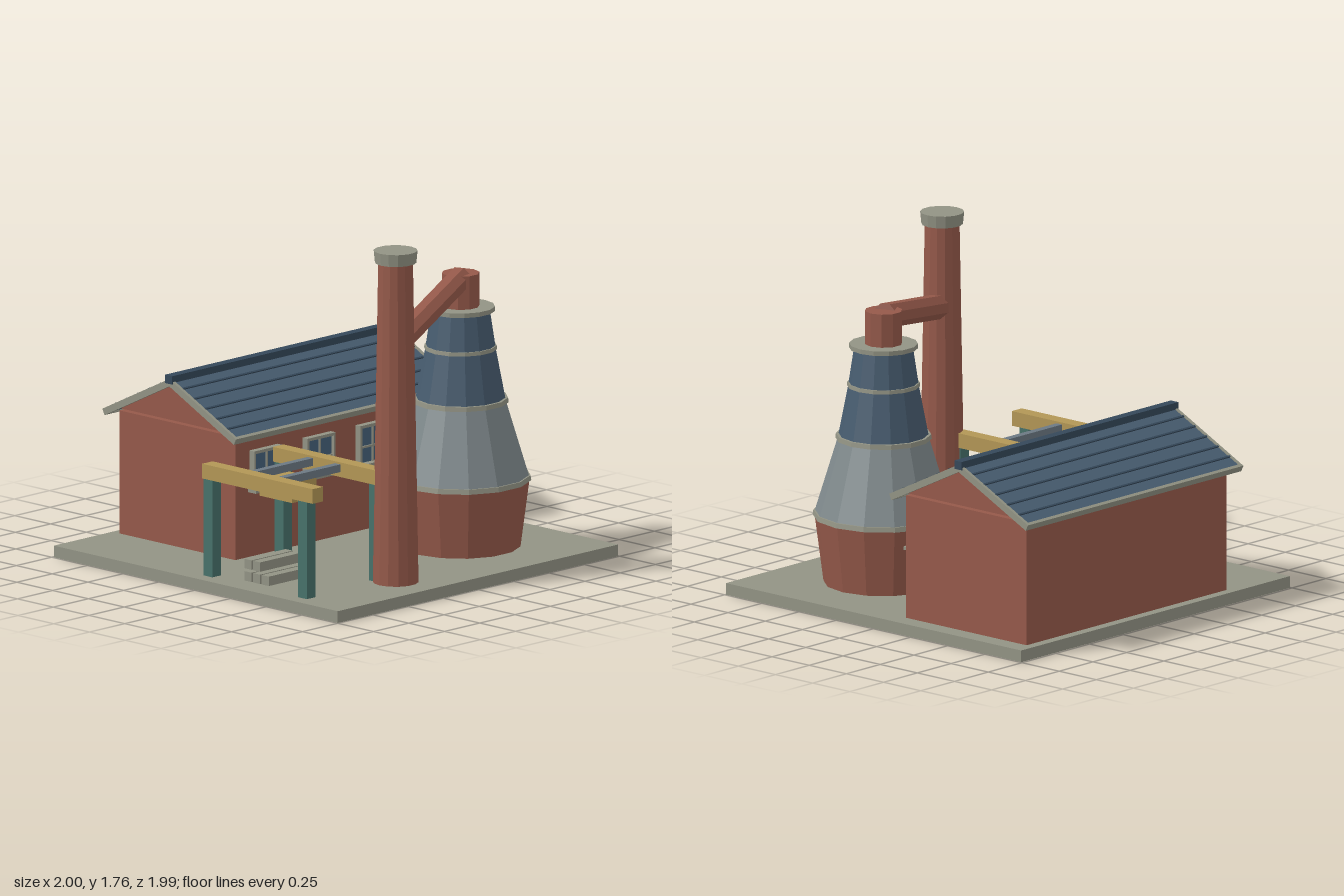
import * as THREE from 'three';

const mat = (name, color) => {
  const m = new THREE.MeshStandardMaterial({ color });
  m.name = name;
  return m;
};

export function createModel() {
  const M = {
    stone: mat('stone', 0x929384),
    brick: mat('brick', 0x95594a),
    slate: mat('slate blue', 0x475c6f),
    seam: mat('dark seam', 0x35485a),
    steel: mat('steel', 0x7f898c),
    rail: mat('rail steel', 0x6c7883),
    timber: mat('ochre timber', 0xb29655),
    teal: mat('teal post', 0x47716a),
    glass: mat('window glass', 0x46617a),
  };
  const model = new THREE.Group();
  model.name = 'kilnYard';

  const group = (name, parent = model) => {
    const g = new THREE.Group();
    g.name = name;
    parent.add(g);
    return g;
  };
  // Faceted mesh: each face gets its own normal
  const mesh = (name, geo, material, parent) => {
    const g = geo.index ? geo.toNonIndexed() : geo;
    g.computeVertexNormals();
    const m = new THREE.Mesh(g, material);
    m.name = name;
    parent.add(m);
    return m;
  };
  // Box given by its ranges on each axis
  const box = (name, [x0, x1], [y0, y1], [z0, z1], material, parent) => {
    const m = mesh(name, new THREE.BoxGeometry(x1 - x0, y1 - y0, z1 - z0), material, parent);
    m.position.set((x0 + x1) / 2, (y0 + y1) / 2, (z0 + z1) / 2);
    return m;
  };
  // Tapered drum standing between two heights
  const drum = (name, y0, y1, r0, r1, sides, material, parent) => {
    const m = mesh(name, new THREE.CylinderGeometry(r1, r0, y1 - y0, sides), material, parent);
    m.position.y = (y0 + y1) / 2;
    return m;
  };

  box('baseSlab', [-0.99, 0.995], [0, 0.06], [-0.995, 0.995], M.stone, model);

  // Workshop walls and gable
  const house = group('workshop');
  box('walls', [-0.94, -0.13], [0.06, 0.69], [-0.9, 0.58], M.brick, house);
  const tri = new THREE.Shape();
  tri.moveTo(-0.405, 0.702);
  tri.lineTo(0.405, 0.702);
  tri.lineTo(0, 0.902);
  const gable = mesh('gable', new THREE.ExtrudeGeometry(tri, { depth: 1.48, bevelEnabled: false }), M.brick, house);
  gable.position.set(-0.535, 0, -0.9);

  // Roof slopes, built flat from the ridge outward and then tilted
  const pitch = Math.atan2(0.23, 0.465), len = 0.519;
  for (const s of [-1, 1]) {
    const slope = group(s > 0 ? 'leftSlope' : 'rightSlope', house);
    slope.position.set(-0.535, 0.925, 0);
    slope.rotation.z = -s * pitch;
    const span = (a, b) => (s > 0 ? [a, b] : [-b, -a]);
    box('roofPanel', span(0, len - 0.015), [-0.022, 0], [-0.942, 0.622], M.slate, slope);
    for (let i = 1; i < 6; i++) {
      const x = (i * len) / 6;
      box('roofSeam', span(x - 0.005, x + 0.005), [0, 0.007], [-0.942, 0.622], M.seam, slope);
    }
    box('eaveBoard', span(len - 0.018, len), [-0.03, 0.004], [-0.958, 0.638], M.stone, slope);
    for (const z of [-0.958, 0.62]) {
      box('vergeBoard', span(0, len), [-0.03, 0.004], [z, z + 0.018], M.stone, slope);
    }
  }
  box('ridgeCap', [-0.56, -0.51], [0.905, 0.948], [-0.962, 0.642], M.seam, house);

  // Row of windows on the yard side
  for (const z of [0.38, 0.003, -0.373, -0.75]) {
    const win = group('window', house);
    win.position.set(-0.13, 0, z);
    box('pane', [0, 0.018], [0.41, 0.59], [-0.09, 0.09], M.glass, win);
    for (const s of [-1, 1]) {
      box('frameSide', [0, 0.035], [0.405, 0.605], s > 0 ? [0.087, 0.1] : [-0.1, -0.087], M.stone, win);
    }
    box('frameTop', [0, 0.035], [0.59, 0.605], [-0.1, 0.1], M.stone, win);
    box('mullion', [0.015, 0.026], [0.41, 0.59], [-0.005, 0.005], M.stone, win);
    box('transom', [0.015, 0.026], [0.485, 0.495], [-0.09, 0.09], M.stone, win);
    box('sill', [0, 0.055], [0.393, 0.41], [-0.11, 0.11], M.stone, win);
  }

  // Tapered kiln in stacked bands
  const kiln = group('kiln');
  kiln.position.set(0.44, 0, -0.44);
  [
    ['kilnBase', 0.06, 0.405, 0.3, 0.345, M.brick],
    ['lowerBand', 0.4, 0.425, 0.354, 0.35, M.stone],
    ['kilnBelly', 0.425, 0.8, 0.342, 0.228, M.steel],
    ['middleBand', 0.797, 0.82, 0.241, 0.238, M.stone],
    ['lowerCone', 0.82, 1.07, 0.224, 0.176, M.slate],
    ['upperBand', 1.067, 1.086, 0.183, 0.181, M.stone],
    ['upperCone', 1.086, 1.265, 0.174, 0.147, M.slate],
    ['topPlate', 1.262, 1.285, 0.172, 0.172, M.stone],
  ].forEach(([n, y0, y1, r0, r1, m]) => drum(n, y0, y1, r0, r1, 14, m, kiln));
  drum('flue', 1.28, 1.455, 0.095, 0.095, 10, M.brick, kiln);

  // Chimney stack
  const chimney = group('chimney');
  chimney.position.set(0.757, 0, 0.343);
  drum('stack', 0.06, 1.7, 0.115, 0.087, 14, M.brick, chimney);
  drum('chimneyCap', 1.695, 1.757, 0.104, 0.11, 14, M.stone, chimney);

  // Sloping duct from the flue to the chimney
  const a = new THREE.Vector3(0.44, 1.425, -0.435), b = new THREE.Vector3(0.757, 1.27, 0.343);
  const dir = b.clone().sub(a);
  const duct = mesh('duct', new THREE.CylinderGeometry(0.064, 0.064, dir.length(), 8), M.brick, model);
  duct.position.copy(a).add(b).multiplyScalar(0.5);
  duct.quaternion.setFromUnitVectors(new THREE.Vector3(0, 1, 0), dir.normalize());

  // Hoist frame
  const hoist = group('hoistFrame');
  for (const z of [0.387, 0.89]) {
    for (const x of [0.015, 0.675]) {
      box('post', [x - 0.031, x + 0.031], [0.06, 0.56], [z - 0.031, z + 0.031], M.teal, hoist);
    }
    box('beam', [-0.02, 0.752], [0.557, 0.632], [z - 0.037, z + 0.037], M.timber, hoist);
  }
  for (const x of [0.242, 0.432]) {
    box('rail', [x - 0.019, x + 0.019], [0.583, 0.622], [0.4, 0.88], M.rail, hoist);
  }
  box('hoistBox', [0.222, 0.45], [0.482, 0.583], [0.592, 0.765], M.timber, hoist);

  // Stacked stone billets
  const stack = group('billets');
  [3, 2].forEach((count, row) => {
    for (let i = 0; i < count; i++) {
      const x = 0.22 + i * 0.06, y = 0.065 + row * 0.063;
      box('billet', [x, x + 0.05], [y, y + 0.048], [0.578, 0.87], M.stone, stack);
    }
  });

  return model;
}
